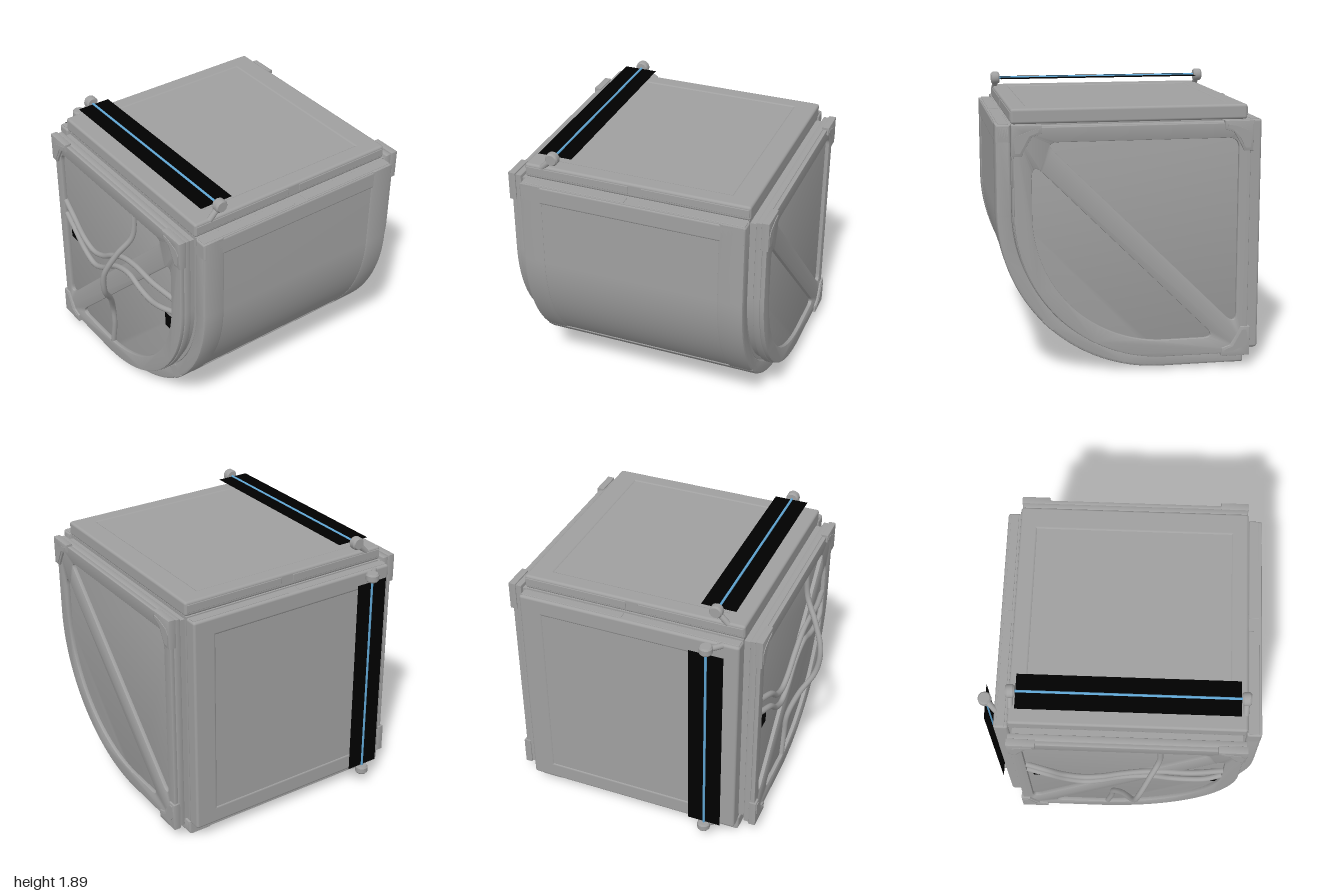
import * as THREE from 'three';
import { toCreasedNormals } from 'three/addons/utils/BufferGeometryUtils.js';
import { RoundedBoxGeometry } from 'three/addons/geometries/RoundedBoxGeometry.js';

const grey = new THREE.MeshStandardMaterial({ color: 0xa0a0a0 });
grey.name = 'grey metal';
const blue = new THREE.MeshStandardMaterial({ color: 0x5fa5d3 });
blue.name = 'blue light';
const black = new THREE.MeshStandardMaterial({ color: 0x000000, side: THREE.DoubleSide });
black.name = 'black';

const BACK = -0.87, FRONT = 0.70, MID = (BACK + FRONT) / 2;
const CX = -0.16, CY = 1.1; // centre of the big curved corner

function add(parent, name, geometry, material = grey) {
  const mesh = new THREE.Mesh(geometry, material);
  mesh.name = name;
  parent.add(mesh);
  return mesh;
}

// Box given by its limits, with softened edges
function block(parent, name, x0, x1, y0, y1, z0, z1, r = 0.012) {
  const mesh = add(parent, name, new RoundedBoxGeometry(x1 - x0, y1 - y0, z1 - z0, 2, r));
  mesh.position.set((x0 + x1) / 2, (y0 + y1) / 2, (z0 + z1) / 2);
  return mesh;
}

// Outline extruded from z0 to z1, with a bevel inside those limits
function slab(parent, name, shape, z0, z1, bevel = 0) {
  const geo = new THREE.ExtrudeGeometry(shape, {
    depth: z1 - z0 - 2 * bevel, curveSegments: 48, bevelEnabled: bevel > 0,
    bevelThickness: bevel, bevelSize: bevel, bevelOffset: -bevel, bevelSegments: 2,
  });
  geo.translate(0, 0, z0 + bevel);
  return add(parent, name, toCreasedNormals(geo, 0.5));
}

// Square outline with one large round corner at the lower +x side
function quarterOutline(inset) {
  const s = new THREE.Shape();
  s.moveTo(-0.73 + inset, 1.68 - inset);
  s.lineTo(-0.73 + inset, 0.1 + inset);
  s.lineTo(CX, 0.1 + inset);
  s.absarc(CX, CY, 1 - inset, -Math.PI / 2, 0, false);
  s.lineTo(0.84 - inset, 1.68 - inset);
  s.closePath();
  return s;
}

// Cross-section of the curved outer shell
function shellOutline(inset) {
  const s = new THREE.Shape();
  s.moveTo(-0.73, 0.1);
  s.lineTo(-0.73, inset);
  s.lineTo(CX, inset);
  s.absarc(CX, CY, 1.1 - inset, -Math.PI / 2, 0, false);
  s.lineTo(0.94 - inset, 1.68);
  s.lineTo(0.84, 1.68);
  s.lineTo(0.84, CY);
  s.absarc(CX, CY, 1, 0, -Math.PI / 2, true);
  s.closePath();
  return s;
}

// The two openings on either side of the diagonal brace
function windowHoles() {
  const a = new THREE.Path();
  a.moveTo(-0.645, 1.5);
  a.lineTo(-0.645, 0.39);
  a.quadraticCurveTo(-0.645, 0.295, -0.57, 0.37);
  a.lineTo(0.58, 1.52);
  a.quadraticCurveTo(0.635, 1.575, 0.54, 1.575);
  a.lineTo(-0.57, 1.575);
  a.quadraticCurveTo(-0.645, 1.575, -0.645, 1.5);
  const b = new THREE.Path();
  b.moveTo(0.72, 1.34);
  b.lineTo(0.72, CY);
  b.absarc(CX, CY, 0.88, 0, -Math.PI / 2, true);
  b.lineTo(-0.41, 0.22);
  b.quadraticCurveTo(-0.51, 0.22, -0.44, 0.29);
  b.lineTo(0.65, 1.38);
  b.quadraticCurveTo(0.72, 1.45, 0.72, 1.34);
  return [a, b];
}

function bracketOutline(flipX, flipY, raised) {
  const pts = raised
    ? [[-0.725, 1.59], [-0.70, 1.625], [-0.62, 1.655], [-0.565, 1.665], [-0.565, 1.645], [-0.625, 1.62], [-0.685, 1.51], [-0.715, 1.51]]
    : [[-0.738, 1.69], [-0.545, 1.69], [-0.545, 1.635], [-0.605, 1.615], [-0.645, 1.55], [-0.675, 1.49], [-0.738, 1.49]];
  return new THREE.Shape(pts.map(([x, y]) =>
    new THREE.Vector2(flipX ? 0.11 - x : x, flipY ? 1.78 - y : y)));
}

// End cover: neck, plate, braced frame and corner brackets
function endCover(name, mirrored) {
  const g = new THREE.Group();
  g.name = name;
  const put = (part, shape, z0, z1, bevel) => mirrored
    ? slab(g, part, shape, 2 * MID - z1, 2 * MID - z0, bevel)
    : slab(g, part, shape, z0, z1, bevel);
  put('neck', quarterOutline(0.025), 0.69, 0.745, 0);
  put('plate', quarterOutline(0), 0.735, 0.785, 0.01);
  const frame = quarterOutline(0.006);
  frame.holes.push(...windowHoles());
  put('bracedFrame', frame, 0.78, 0.812, 0.006);
  for (const [fx, fy] of [[false, false], [true, false], [false, true]]) {
    put('cornerBracket', bracketOutline(fx, fy, false), 0.775, 0.826, 0.004);
    put('bracketRib', bracketOutline(fx, fy, true), 0.82, 0.83, 0);
  }
  return g;
}

// Flat panel lying in local x/z, with raised border bars and slot plates
function flatPanel(name, x0, x1, y0, y1, borderLow, borderHigh) {
  const g = new THREE.Group();
  g.name = name;
  block(g, 'panelCentre', x0 + 0.01, x1 - 0.01, y0, y1 - 0.006, BACK + 0.01, FRONT - 0.01);
  block(g, 'sideBorder', x0, x0 + borderLow, y0, y1, BACK, FRONT, 0.018);
  block(g, 'sideBorder', x1 - borderHigh, x1, y0, y1, BACK, FRONT, 0.018);
  block(g, 'endBorder', x0 + 0.02, x1 - 0.02, y0, y1, BACK, BACK + 0.165, 0.018);
  block(g, 'endBorder', x0 + 0.02, x1 - 0.02, y0, y1, FRONT - 0.16, FRONT, 0.018);
  for (const x of [x0, x1])
    for (const [z0, z1] of [[-0.86, -0.13], [-0.04, 0.69]])
      block(g, 'edgeSlot', x - 0.004, x + 0.004, y0 + 0.025, y1 - 0.02, z0, z1, 0.003);
  return g;
}

// Light rail along local x, standing above local y = 0
function lightRail(name, length) {
  const g = new THREE.Group();
  g.name = name;
  const rod = add(g, 'lightRod', new THREE.CylinderGeometry(0.009, 0.009, length, 12), blue);
  rod.rotation.z = Math.PI / 2;
  const strip = add(g, 'darkStrip', new THREE.PlaneGeometry(length - 0.07, 0.24), black);
  strip.rotation.x = -Math.PI / 2;
  const profile = [[0, -0.03], [0.036, -0.03], [0.045, -0.018], [0.045, 0.018], [0.036, 0.03], [0, 0.03]]
    .map(p => new THREE.Vector2(...p));
  for (const s of [-1, 1]) {
    const x = s * length / 2;
    const knob = add(g, 'railKnob', toCreasedNormals(new THREE.LatheGeometry(profile, 20), 0.5));
    knob.rotation.z = Math.PI / 2;
    knob.position.x = x;
    const stem = add(g, 'railStem', new THREE.CylinderGeometry(0.02, 0.02, 0.12, 12));
    stem.rotation.x = -Math.PI / 4;
    stem.position.set(x, -0.04, 0.04);
  }
  return g;
}

function cable(parent, points) {
  const curve = new THREE.CatmullRomCurve3(points.map(p => new THREE.Vector3(...p)));
  add(parent, 'cable', new THREE.TubeGeometry(curve, 80, 0.02, 10));
}

export function createModel() {
  const model = new THREE.Group();
  slab(model, 'core', quarterOutline(0.002), BACK + 0.01, FRONT - 0.01);
  model.add(endCover('frontCover', false), endCover('backCover', true));

  // Curved shell wrapping the +x side and the underside
  const shell = new THREE.Group();
  shell.name = 'curvedShell';
  model.add(shell);
  slab(shell, 'shellCentre', shellOutline(0.006), BACK + 0.02, FRONT - 0.02);
  slab(shell, 'shellBorder', shellOutline(0), 0.54, FRONT, 0.016);
  slab(shell, 'shellBorder', shellOutline(0), BACK, -0.69, 0.016);
  block(shell, 'shellTopBorder', 0.84, 0.94, 1.55, 1.68, BACK, FRONT, 0.016);
  block(shell, 'shellEndBorder', -0.73, -0.6, 0, 0.1, BACK, FRONT, 0.016);
  const seam = block(shell, 'shellSeamBar', -0.05, 0.05, -0.055, 0.055, BACK, FRONT, 0.01);
  seam.position.set(CX + 1.051 * Math.SQRT1_2, CY - 1.051 * Math.SQRT1_2, MID);
  seam.rotation.z = -Math.PI / 4;
  for (const [z0, z1] of [[-0.86, -0.13], [-0.04, 0.69]])
    block(shell, 'edgeSlot', 0.855, 0.92, 1.676, 1.684, z0, z1, 0.003);

  // Flat panels on the top and the -x side
  model.add(flatPanel('topPanel', -0.73, 0.84, 1.68, 1.78, 0.12, 0.12));
  const side = flatPanel('sidePanel', 0.1, 1.68, 0.73, 0.83, 0.13, 0.13);
  side.rotation.z = Math.PI / 2;
  model.add(side);

  // Light rails
  const topRail = lightRail('topLightRail', 1.54);
  topRail.position.set(0.055, 1.845, 0.5);
  const sideRail = lightRail('sideLightRail', 1.54);
  sideRail.rotation.z = Math.PI / 2;
  sideRail.position.set(-0.898, 0.893, 0.5);
  model.add(topRail, sideRail);

  // Dark patches in the front openings
  for (const x of [-0.55, 0.67]) {
    const patch = add(model, 'darkPatch', new THREE.PlaneGeometry(0.115, 0.115), black);
    patch.position.set(x, 0.915, 0.79);
  }

  // Cables across the front
  const across = [
    [[-0.645, 1.157], [-0.5, 1.11], [-0.37, 1.0], [-0.245, 0.96], [-0.12, 0.995], [0.01, 1.08], [0.16, 1.155], [0.31, 1.18], [0.51, 1.17], [0.72, 1.157]],
    [[-0.645, 1.045], [-0.5, 1.0], [-0.37, 0.89], [-0.245, 0.843], [-0.12, 0.89], [0.01, 0.99], [0.12, 1.04], [0.235, 1.056], [0.36, 1.015], [0.49, 1.0], [0.61, 1.025], [0.72, 1.045]],
  ];
  for (const line of across)
    cable(model, line.map(([x, y], i) => [x, y, i === 0 || i === line.length - 1 ? 0.795 : 0.82]));
  cable(model, [[0.28, 1.585, 0.795], [0.275, 1.4, 0.815], [0.21, 1.25, 0.9], [0.145, 1.07, 0.97], [0.11, 0.893, 0.955],
    [0.03, 0.726, 0.865], [-0.04, 0.563, 0.81], [-0.05, 0.41, 0.797], [-0.085, 0.21, 0.795]]);
  return model;
}
